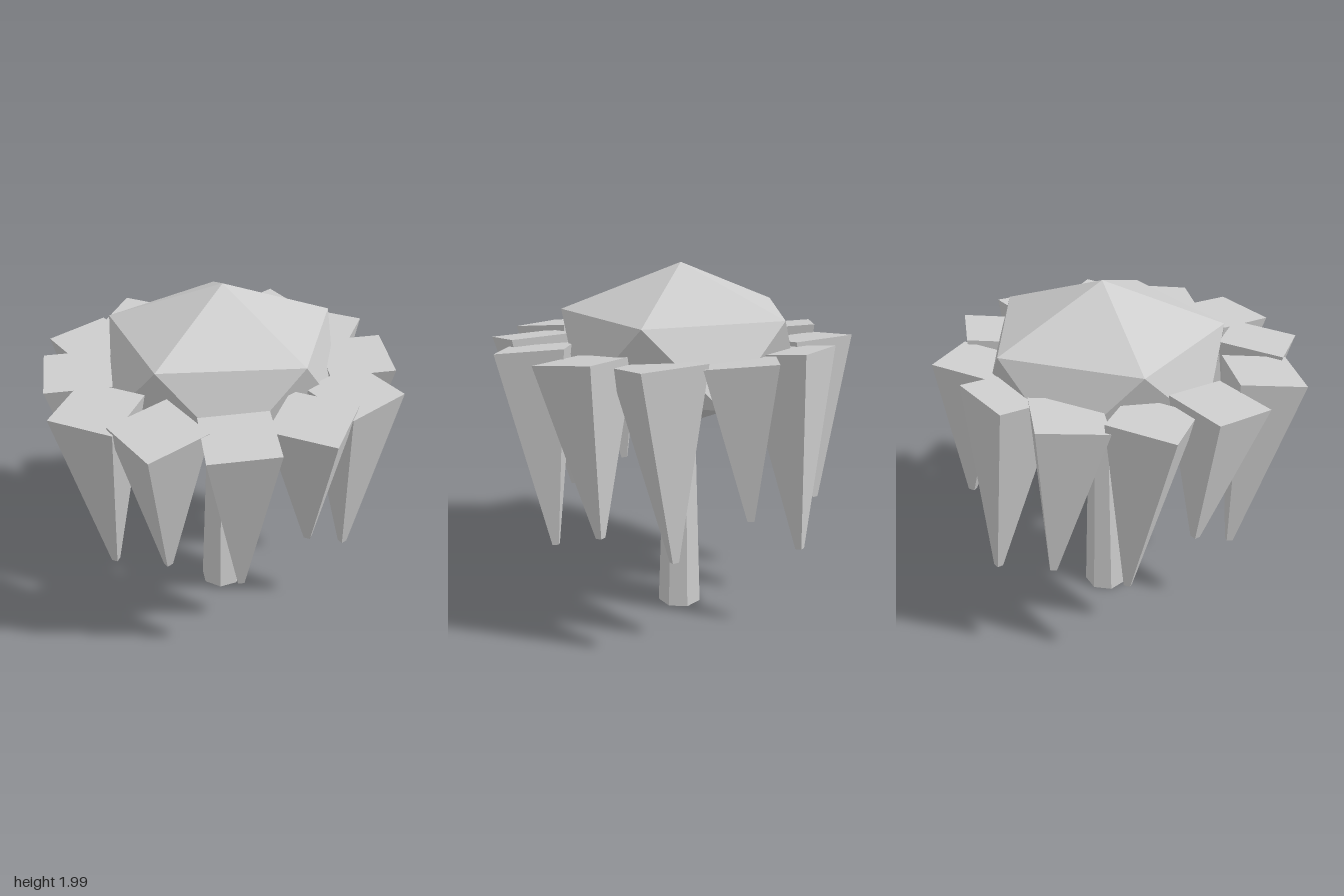
import * as THREE from 'three';

const CX = 0.07, CZ = -0.105; // axis of the tree

export function createModel() {
  const model = new THREE.Group();
  model.name = 'tree';
  const grey = new THREE.MeshStandardMaterial({ color: 0xcccccc, flatShading: true });
  grey.name = 'lightGrey';

  const add = (name, geometry, x, y, z) => {
    const mesh = new THREE.Mesh(geometry, grey);
    mesh.name = name;
    mesh.position.set(x, y, z);
    model.add(mesh);
    return mesh;
  };

  // Seven-sided tapering trunk, one corner to the back
  const trunk = new THREE.CylinderGeometry(0.085, 0.125, 1.2, 7);
  trunk.rotateY(Math.PI);
  add('trunk', trunk, CX, 0.6, CZ);

  // Flattened icosahedron crown, standing on a corner
  const crown = new THREE.IcosahedronGeometry(1, 0);
  crown.rotateX(-Math.atan((1 + Math.sqrt(5)) / 2));
  crown.rotateY(Math.PI / 2);
  crown.scale(0.727, 0.457, 0.727);
  add('crown', crown, CX, 1.532, CZ);

  // Ring of twelve hanging strands, all leaning the same way
  const up = new THREE.Vector3(0, 1, 0);
  const leanDir = new THREE.Vector3(-0.07, 1, 0.105).normalize();
  const lean = new THREE.Quaternion().setFromUnitVectors(up, leanDir);
  const tips = [0.66, 0.5, 0.77, 0.58];
  const topY = 1.57, ring = 0.766;
  for (let k = 0; k < 12; k++) {
    const a = THREE.MathUtils.degToRad(15 + 30 * k);
    const tipY = tips[k % 4];
    const length = (topY - tipY) / leanDir.y;
    const tip = new THREE.Vector3(CX + ring * Math.cos(a), tipY, CZ + ring * Math.sin(a));
    const mid = tip.addScaledVector(leanDir, length / 2);
    const strand = add('strand' + (k + 1), new THREE.CylinderGeometry(0.256, 0.025, length, 4), mid.x, mid.y, mid.z);
    const spin = new THREE.Quaternion().setFromAxisAngle(up, THREE.MathUtils.degToRad(30 * k - 60));
    strand.quaternion.copy(lean).multiply(spin);
  }
  return model;
}
